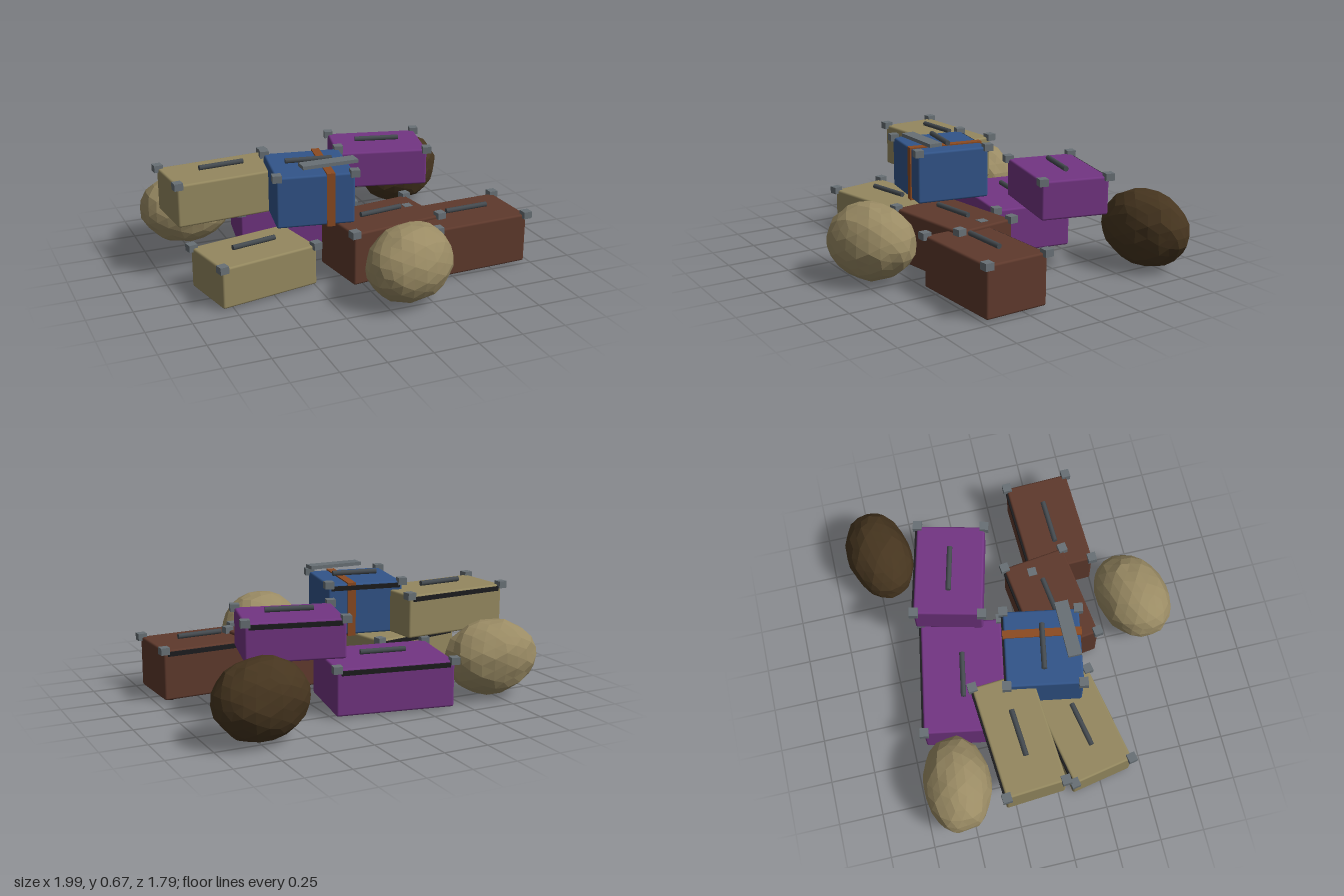
import * as THREE from 'three';
import { RoundedBoxGeometry } from 'three/addons/geometries/RoundedBoxGeometry.js';
import { mergeVertices } from 'three/addons/utils/BufferGeometryUtils.js';

const mat = (name, color) => {
  const m = new THREE.MeshStandardMaterial({ color });
  m.name = name;
  return m;
};

export function createModel() {
  const tan = mat('tan canvas', 0x94885f);
  const purple = mat('purple leather', 0x733583);
  const blue = mat('blue leather', 0x32558a);
  const brown = mat('brown leather', 0x5e392c);
  const strapMat = mat('orange strap leather', 0x8c4b22);
  const metal = mat('grey metal', 0x687075);
  const handleMat = mat('dark grey handle', 0x454b50);
  const black = mat('black trim', 0x1c1c1e);
  const darkSack = mat('dark brown cloth', 0x46351f);
  const sackTan = mat('tan cloth', 0x9a8b64);

  const model = new THREE.Group();
  model.name = 'luggagePile';

  const add = (parent, name, geometry, material, x = 0, y = 0, z = 0) => {
    const mesh = new THREE.Mesh(geometry, material);
    mesh.name = name;
    mesh.position.set(x, y, z);
    parent.add(mesh);
    return mesh;
  };

  // A suitcase: rounded body, corner caps, grip and a dark hinge along the back
  const capGeo = new THREE.BoxGeometry(0.05, 0.04, 0.05);
  const gripGeo = new THREE.CylinderGeometry(0.015, 0.015, 0.26, 8).rotateZ(Math.PI / 2);
  const footGeo = new THREE.CylinderGeometry(0.02, 0.02, 0.02, 10);
  const suitcase = (name, material, x, z, bottom, top, w, d, turn, feet = false) => {
    const g = new THREE.Group();
    g.name = name;
    g.position.set(x, 0, z);
    g.rotation.y = turn;
    model.add(g);
    add(g, 'body', new RoundedBoxGeometry(w, top - bottom, d, 2, 0.012), material, 0, (top + bottom) / 2, 0);
    for (const sx of [-1, 1]) for (const sz of [-1, 1]) {
      add(g, 'cornerCap', capGeo, metal, sx * (w / 2 - 0.003), top, sz * (d / 2 - 0.003));
      if (feet) add(g, 'foot', footGeo, black, sx * (w / 2 - 0.05), 0.01, sz * (d / 2 - 0.05));
    }
    add(g, 'handle', gripGeo, handleMat, 0, top + 0.022, 0);
    add(g, 'hinge', new THREE.BoxGeometry(w * 0.92, 0.025, 0.02), black, 0, top - 0.022, -d / 2);
    return g;
  };

  suitcase('lowerTanCase', tan, -0.56, 0.2, 0.01, 0.24, 0.58, 0.355, 0.194, true);
  suitcase('upperTanCase', tan, -0.615, -0.174, 0.33, 0.572, 0.638, 0.333, 0.075);
  suitcase('lowerPurpleCase', purple, -0.13, -0.388, 0.01, 0.27, 0.663, 0.464, -0.175);
  suitcase('upperPurpleCase', purple, 0.406, -0.337, 0.333, 0.548, 0.535, 0.385, -0.243);
  suitcase('leftBrownCase', brown, 0.19, 0.203, 0.01, 0.312, 0.56, 0.367, 0.134, true);
  suitcase('farLeftBrownCase', brown, 0.674, 0.31, 0.01, 0.295, 0.572, 0.369, 0.037, true);
  const blueCase = suitcase('blueCase', blue, -0.187, 0.061, 0.33, 0.62, 0.433, 0.42, -0.175);

  // Strap wrapped around the blue case
  const band = (hx, hy, ShapeType) => new ShapeType([
    new THREE.Vector2(-hx, -hy), new THREE.Vector2(hx, -hy),
    new THREE.Vector2(hx, hy), new THREE.Vector2(-hx, hy),
  ]);
  const loop = band(0.217, 0.152, THREE.Shape);
  loop.holes.push(band(0.207, 0.142, THREE.Path));
  const strapGeo = new THREE.ExtrudeGeometry(loop, { depth: 0.046, bevelEnabled: false });
  strapGeo.translate(0, 0, -0.023).rotateY(Math.PI / 2);
  add(blueCase, 'strap', strapGeo, strapMat, 0.082, 0.475, 0);

  // Flat bar lying above the blue case
  add(model, 'flatBar', new THREE.BoxGeometry(0.32, 0.02, 0.075), metal, -0.13, 0.664, 0.214);

  // Lumpy faceted sacks
  let seed = 7;
  const random = () => (seed = (seed * 16807) % 2147483647) / 2147483647;
  const sack = (name, material, x, y, z, rx, ry, rz, turn) => {
    let geo = new THREE.IcosahedronGeometry(1, 3);
    geo.deleteAttribute('normal');
    geo.deleteAttribute('uv');
    geo = mergeVertices(geo, 1e-3);
    const p = geo.attributes.position;
    for (let i = 0; i < p.count; i++) {
      const k = 0.96 + random() * 0.06;
      p.setXYZ(i, p.getX(i) * k * rx, p.getY(i) * k * ry, p.getZ(i) * k * rz);
    }
    geo = geo.toNonIndexed();
    geo.computeVertexNormals(); // one normal per face keeps the facets flat
    add(model, name, geo, material, x, y, z).rotation.y = turn;
  };
  sack('frontSack', sackTan, 0.14, 0.225, 0.684, 0.265, 0.213, 0.202, 0.35);
  sack('backRightSack', sackTan, -0.727, 0.225, -0.55, 0.271, 0.213, 0.19, -0.08);
  sack('backLeftSack', darkSack, 0.73, 0.224, -0.71, 0.271, 0.217, 0.189, 0.2);

  return model;
}
